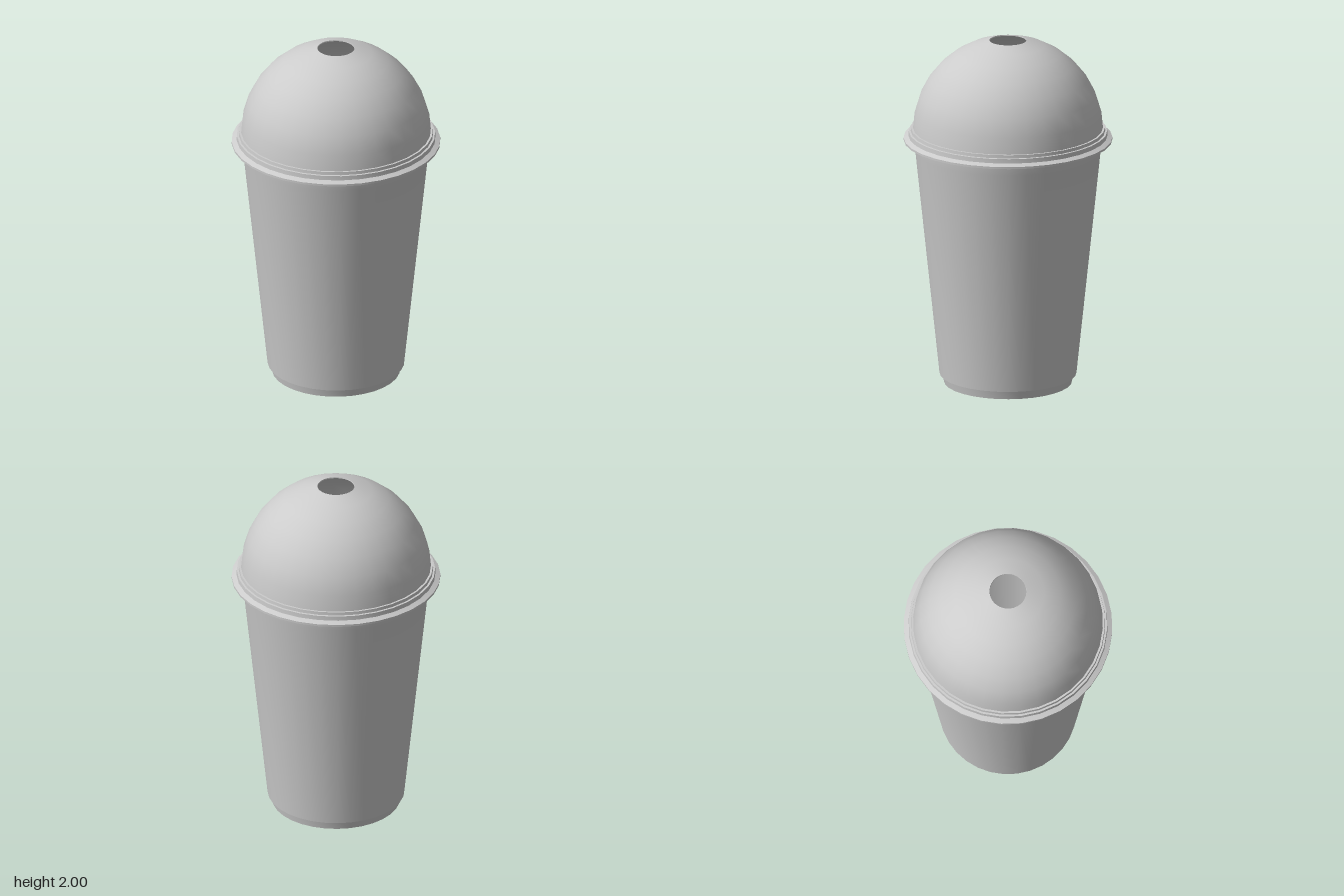
import * as THREE from 'three';
import { toCreasedNormals } from 'three/addons/utils/BufferGeometryUtils.js';

const SIDES = 32;

// Revolve a profile of [radius, height] pairs, keeping sharp profile corners.
function revolve(name, profile, material) {
  const points = profile.map(([r, y]) => new THREE.Vector2(r, y));
  const geometry = toCreasedNormals(new THREE.LatheGeometry(points, SIDES), 0.45);
  const mesh = new THREE.Mesh(geometry, material);
  mesh.name = name;
  return mesh;
}

// Arc of the dome from its foot to the straw hole, or back down again.
function domeArc(radius, centreY) {
  const arc = [];
  for (let i = 8; i >= 1; i--) {
    const a = (i * Math.PI) / 16;
    arc.push([radius * Math.sin(a), centreY + radius * Math.cos(a)]);
  }
  return arc;
}

export function createModel() {
  const group = new THREE.Group();
  group.name = 'domedCup';
  const material = new THREE.MeshStandardMaterial({ color: 0xcccccc, side: THREE.DoubleSide });

  // Tapered cup: recessed base, foot ring, outer wall, rim, inner wall, floor
  group.add(revolve('cup', [
    [0, 0.035], [0.325, 0.035], [0.33, 0], [0.36, 0], [0.37, 0.05], [0.385, 0.05],
    [0.522, 1.36], [0.53, 1.41], [0.53, 1.45], [0.52, 1.45],
    [0.512, 1.36], [0.375, 0.05], [0, 0.05],
  ], material));

  // Hollow dome with an open straw hole at the top
  group.add(revolve('domeLid', [
    ...domeArc(0.535, 1.475),
    ...domeArc(0.529, 1.475).reverse(),
  ], material));

  // Stepped collar and flange that clip over the cup rim
  group.add(revolve('lidCollar', [
    [0.54, 1.415], [0.587, 1.418], [0.587, 1.43], [0.56, 1.443], [0.558, 1.468],
    [0.547, 1.469], [0.545, 1.487], [0.531, 1.487],
    [0.531, 1.475], [0.535, 1.45], [0.54, 1.415],
  ], material));

  return group;
}
